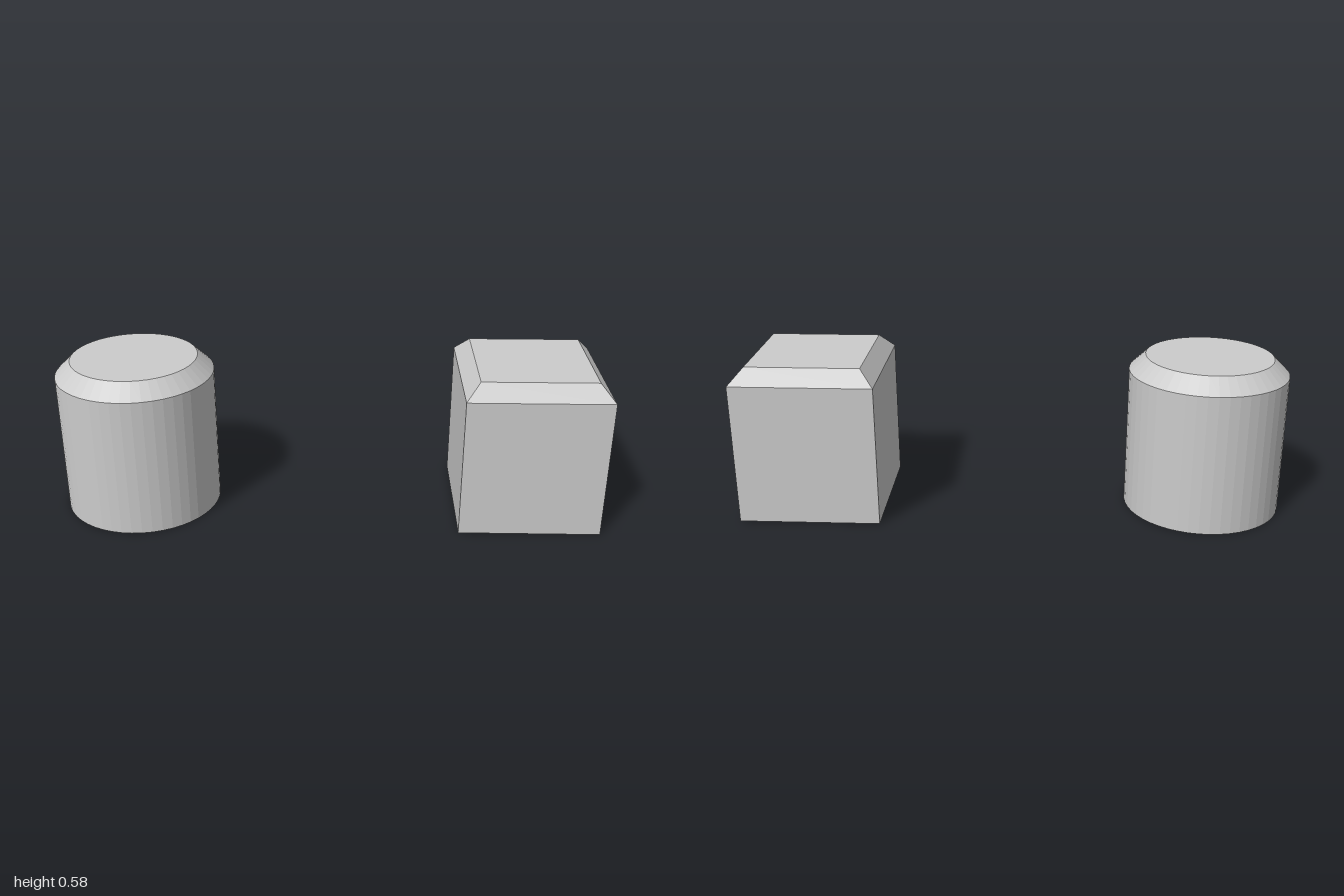
import * as THREE from 'three';

const HEIGHT = 0.58;
const SHOULDER = 0.523; // where the top chamfer begins
const TAPER = 0.8; // top radius relative to the body radius

const material = new THREE.MeshStandardMaterial({ color: 0xcccccc, flatShading: true });

// Closed prism with a chamfered top; the number of sides sets its plan shape
function chamferedPrism(name, radius, sides, x) {
  const profile = [
    [0, 0],
    [radius, 0],
    [radius, SHOULDER],
    [radius * TAPER, HEIGHT],
    [0, HEIGHT],
  ].map(([r, y]) => new THREE.Vector2(r, y));

  // Start at 45 degrees so that four sides line up with the axes
  const lathe = new THREE.LatheGeometry(profile, sides, Math.PI / 4);
  const geometry = lathe.toNonIndexed();
  geometry.computeVertexNormals();

  const mesh = new THREE.Mesh(geometry, material);
  mesh.name = name;
  mesh.position.x = x;
  return mesh;
}

export function createModel() {
  const model = new THREE.Group();
  model.name = 'chamferedBlocks';

  // Round block on the model's right
  model.add(chamferedPrism('roundBlock', 0.29, 48, -0.71));

  // Square block on the model's left; radius is half the diagonal
  const halfSide = 0.258;
  model.add(chamferedPrism('squareBlock', halfSide * Math.SQRT2, 4, 1 - halfSide));

  return model;
}
